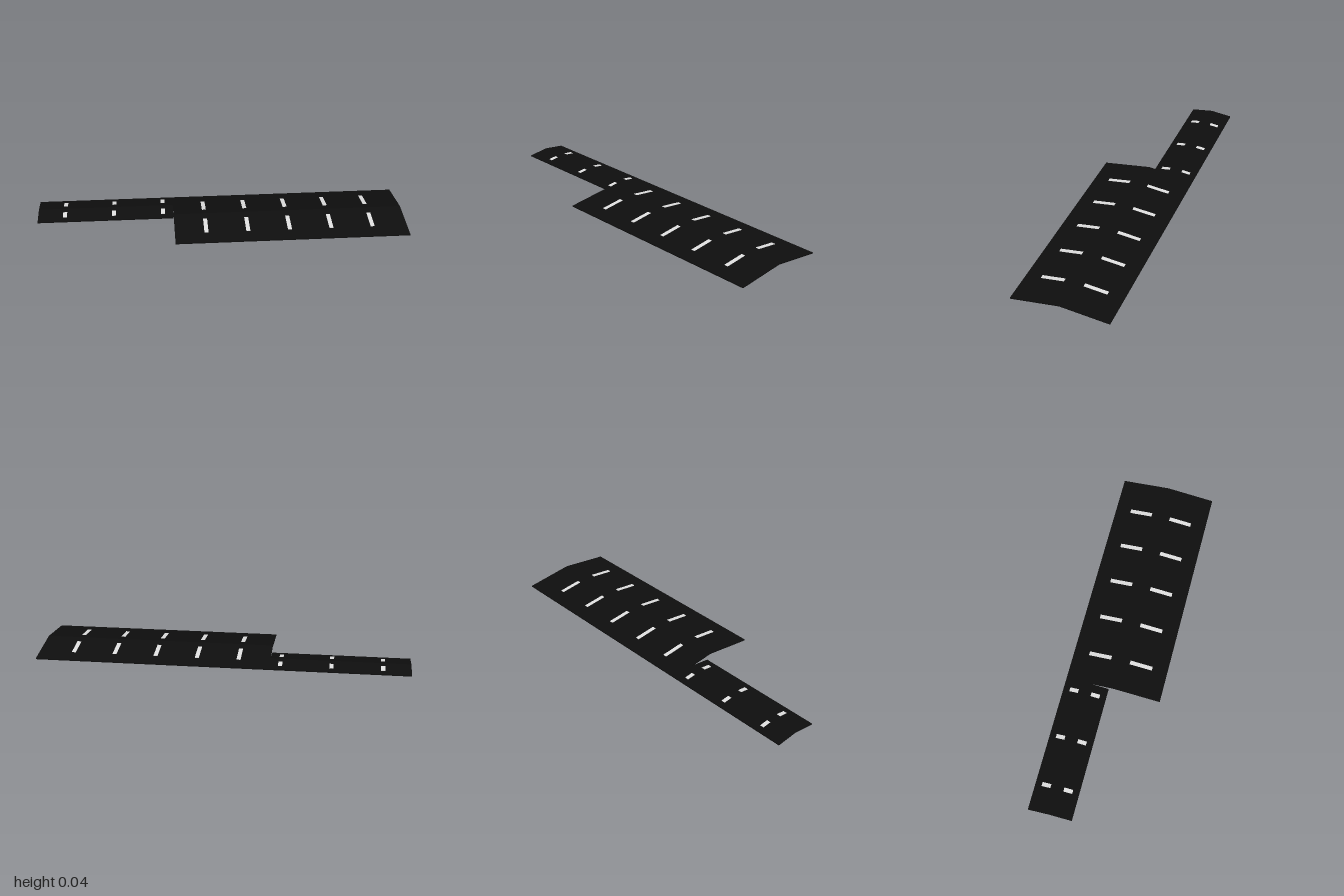
import * as THREE from 'three';

const SHEET = 0.006; // roof sheet thickness
const LIGHT = 0.0095; // rooflight thickness, proud of the sheet on both sides

export function createModel() {
  const model = new THREE.Group();
  model.name = 'roofs';
  const sheetMat = new THREE.MeshStandardMaterial({ color: 0x0e0e0e });
  sheetMat.name = 'black roof sheet';
  const lightMat = new THREE.MeshStandardMaterial({ color: 0xe0e0e0 });
  lightMat.name = 'pale rooflight';

  // A shallow gable: folded sheet along x with pairs of rooflights in its slopes
  function gable(name, { x0, x1, z, half, rise, lights, lightFrom, lightTo, lightWidth }) {
    const roof = new THREE.Group();
    roof.name = name;
    roof.position.z = z;

    // Folded sheet profile, extruded along x
    const profile = new THREE.Shape([
      [-half, 0], [0, rise], [half, 0], [half, SHEET], [0, rise + SHEET], [-half, SHEET],
    ].map(([a, b]) => new THREE.Vector2(a, b)));
    const geo = new THREE.ExtrudeGeometry(profile, { depth: x1 - x0, bevelEnabled: false });
    geo.rotateY(Math.PI / 2).translate(x0, 0, 0);
    const sheet = new THREE.Mesh(geo, sheetMat);
    sheet.name = name + 'Sheet';
    roof.add(sheet);

    // Rooflights, mirrored over the ridge
    const angle = Math.atan2(rise, half);
    const mid = (lightFrom + lightTo) / 2;
    const lightGeo = new THREE.BoxGeometry(lightWidth, LIGHT, (lightTo - lightFrom) / Math.cos(angle));
    for (const x of lights) {
      for (const side of [-1, 1]) {
        const light = new THREE.Mesh(lightGeo, lightMat);
        light.name = 'rooflight';
        light.position.set(x, rise * (1 - mid / half) + SHEET / 2, side * mid);
        light.rotation.x = side * angle;
        roof.add(light);
      }
    }
    model.add(roof);
  }

  gable('mainRoof', {
    x0: -0.257, x1: 1, z: 0, half: 0.262, rise: 0.032,
    lights: [0, 1, 2, 3, 4].map((i) => -0.088 + i * 0.225),
    lightFrom: 0.052, lightTo: 0.177, lightWidth: 0.022,
  });
  gable('lowerRoof', {
    x0: -1, x1: -0.257, z: -0.143, half: 0.119, rise: 0.0145,
    lights: [-0.853, -0.583, -0.313],
    lightFrom: 0.035, lightTo: 0.083, lightWidth: 0.022,
  });
  return model;
}
